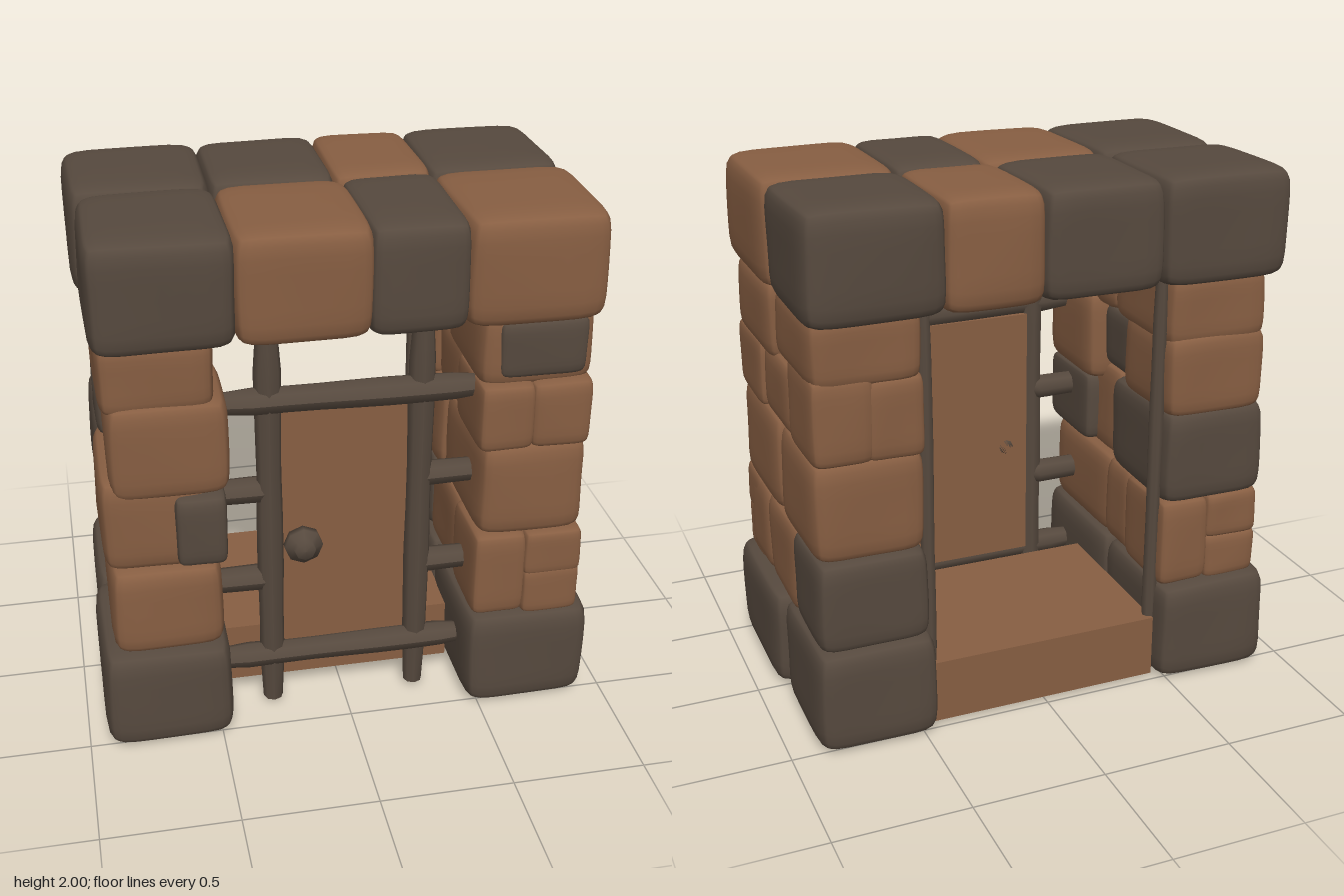
import * as THREE from 'three';
import { mergeVertices } from 'three/addons/utils/BufferGeometryUtils.js';

const brown = new THREE.MeshStandardMaterial({ color: 0x875e42 });
brown.name = 'brown';
const dark = new THREE.MeshStandardMaterial({ color: 0x56493e });
dark.name = 'darkBrown';

// Bulging, slightly uneven stone (a squared-off ellipsoid) filling the given bounds
function stone(group, name, mat, x0, x1, y0, y1, z0, z1) {
  const w = x1 - x0, h = y1 - y0, d = z1 - z0;
  let geo = new THREE.BoxGeometry(2, 2, 2, 10, 10, 10);
  geo.deleteAttribute('uv');
  geo.deleteAttribute('normal');
  geo = mergeVertices(geo);
  const p = geo.attributes.position;
  const seed = x0 * 17 + y0 * 29 + z0 * 41;
  // crowd the grid lines toward the edges
  const spread = (t) => Math.sin(t * Math.PI / 2);
  for (let i = 0; i < p.count; i++) {
    const u = spread(p.getX(i)), v = spread(p.getY(i)), t = spread(p.getZ(i));
    const k = Math.pow(u ** 8 + v ** 8 + t ** 8, -1 / 8);
    const a = 0.988 + 0.012 * Math.sin(seed + v * 2 + t * 1.5);
    const b = 0.992 + 0.008 * Math.sin(seed * 2 + u * 1.5 + t * 2);
    const c = 0.988 + 0.012 * Math.sin(seed * 3 + u * 2 + v * 1.5);
    p.setXYZ(i, u * k * a * w / 2, v * k * b * h / 2, t * k * c * d / 2);
  }
  geo.computeVertexNormals();
  const mesh = new THREE.Mesh(geo, mat);
  mesh.name = name;
  mesh.position.set((x0 + x1) / 2, (y0 + y1) / 2, (z0 + z1) / 2);
  group.add(mesh);
}

// Gently knobbly wooden pole between two points
function pole(group, name, from, to, radius) {
  const a = new THREE.Vector3(...from), b = new THREE.Vector3(...to);
  const len = a.distanceTo(b);
  const geo = new THREE.CylinderGeometry(radius, radius, len, 8, 8);
  const p = geo.attributes.position;
  for (let i = 0; i < p.count; i++) {
    const y = p.getY(i);
    const end = Math.abs(y) > len * 0.49 ? 0.75 : 1;
    const s = end * (1 + 0.05 * Math.sin(y * 9 + from[0] * 13));
    p.setXYZ(i, p.getX(i) * s, y, p.getZ(i) * s);
  }
  geo.computeVertexNormals();
  const mesh = new THREE.Mesh(geo, dark);
  mesh.name = name;
  mesh.position.copy(a).add(b).multiplyScalar(0.5);
  mesh.quaternion.setFromUnitVectors(new THREE.Vector3(0, 1, 0), b.sub(a).normalize());
  group.add(mesh);
}

function part(root, name) {
  const g = new THREE.Group();
  g.name = name;
  root.add(g);
  return g;
}

export function createModel() {
  const root = new THREE.Group();
  root.name = 'stoneDoorway';

  // Corner foundation stones
  const base = part(root, 'foundation');
  stone(base, 'baseStone', dark, 0.44, 0.93, 0, 0.41, -0.04, 0.555);
  stone(base, 'baseStone', dark, -0.935, -0.45, 0, 0.41, -0.04, 0.555);
  stone(base, 'baseStone', dark, 0.44, 0.9, 0, 0.41, -0.555, -0.02);
  stone(base, 'baseStone', dark, -0.92, -0.45, 0, 0.41, -0.555, -0.02);

  // Two rows of roof stones
  const roof = part(root, 'roofStones');
  const front = [[-0.9, -0.39, dark], [-0.415, 0.075, brown], [0.045, 0.405, dark], [0.38, 0.9, brown]];
  const back = [[-0.92, -0.4, dark], [-0.42, 0.05, dark], [0.03, 0.405, brown], [0.38, 0.89, dark]];
  front.forEach(([a, b, m]) => stone(roof, 'frontRoofStone', m, a, b, 1.59, 2, -0.04, 0.54));
  back.forEach(([a, b, m]) => stone(roof, 'backRoofStone', m, a, b, 1.59, 2, -0.555, -0.015));

  // Left pillar (+x), course by course
  const L = part(root, 'leftPillar');
  stone(L, 'frontStone', brown, 0.46, 0.67, 0.39, 0.75, 0.19, 0.515);
  stone(L, 'frontStone', brown, 0.65, 0.88, 0.56, 0.75, 0.3, 0.525);
  stone(L, 'frontStone', brown, 0.65, 0.88, 0.39, 0.59, 0.3, 0.525);
  stone(L, 'frontSideStone', brown, 0.5, 0.885, 0.39, 0.75, 0.18, 0.47);
  stone(L, 'middleStone', brown, 0.47, 0.88, 0.38, 0.75, -0.18, 0.22);
  stone(L, 'backStone', dark, 0.46, 0.88, 0.39, 0.75, -0.525, -0.14);
  stone(L, 'frontStone', brown, 0.47, 0.885, 0.73, 1.12, -0.03, 0.505);
  stone(L, 'backStone', brown, 0.46, 0.88, 0.73, 1.12, -0.505, -0.02);
  stone(L, 'frontStone', brown, 0.46, 0.67, 1.09, 1.36, 0.15, 0.505);
  stone(L, 'frontStone', brown, 0.65, 0.885, 1.09, 1.36, 0.15, 0.505);
  stone(L, 'middleStone', brown, 0.48, 0.87, 1.09, 1.37, -0.18, 0.18);
  stone(L, 'backStone', brown, 0.46, 0.68, 1.09, 1.4, -0.505, -0.16);
  stone(L, 'backStone', brown, 0.64, 0.87, 1.09, 1.42, -0.505, -0.16);
  stone(L, 'frontStone', brown, 0.46, 0.89, 1.33, 1.63, -0.03, 0.465);
  stone(L, 'frontInsetStone', dark, 0.52, 0.86, 1.37, 1.6, 0.15, 0.485);
  stone(L, 'backStone', brown, 0.46, 0.87, 1.37, 1.63, -0.505, -0.01);

  // Right pillar (-x), course by course
  const R = part(root, 'rightPillar');
  stone(R, 'frontStone', brown, -0.885, -0.47, 0.39, 0.75, -0.03, 0.515);
  stone(R, 'backStone', brown, -0.67, -0.46, 0.39, 0.75, -0.505, -0.17);
  stone(R, 'backStone', brown, -0.88, -0.65, 0.56, 0.75, -0.505, -0.17);
  stone(R, 'backStone', brown, -0.88, -0.65, 0.39, 0.58, -0.505, -0.17);
  stone(R, 'middleStone', brown, -0.87, -0.47, 0.39, 0.75, -0.2, 0.02);
  stone(R, 'frontStone', brown, -0.9, -0.5, 0.73, 1.11, -0.03, 0.485);
  stone(R, 'frontInsetStone', dark, -0.64, -0.45, 0.75, 1.04, 0.15, 0.525);
  stone(R, 'backStone', dark, -0.89, -0.46, 0.73, 1.11, -0.515, -0.01);
  stone(R, 'frontStone', brown, -0.86, -0.43, 1.03, 1.4, 0.1, 0.505);
  stone(R, 'middleStone', dark, -0.88, -0.5, 1.1, 1.36, -0.13, 0.13);
  stone(R, 'backStone', brown, -0.87, -0.46, 1.08, 1.4, -0.515, -0.11);
  stone(R, 'frontStone', brown, -0.88, -0.47, 1.35, 1.63, -0.03, 0.485);
  stone(R, 'backStone', brown, -0.87, -0.46, 1.35, 1.63, -0.505, -0.01);

  // Floor slab and door panel
  const slab = new THREE.Mesh(new THREE.BoxGeometry(0.9, 0.245, 0.69), brown);
  slab.name = 'floorSlab';
  slab.position.set(0, 0.1375, -0.135);
  const door = new THREE.Mesh(new THREE.BoxGeometry(0.5, 1.04, 0.03), brown);
  door.name = 'doorPanel';
  door.position.set(0, 0.76, 0.32);
  root.add(slab, door);

  // Wooden frame, rungs and rear posts
  const frame = part(root, 'woodenFrame');
  for (const s of [-1, 1]) {
    pole(frame, 'doorPost', [s * 0.28, 0.02, 0.345], [s * 0.28, 1.63, 0.345], 0.048);
    pole(frame, 'rearPost', [s * 0.45, 0.12, -0.44], [s * 0.45, 1.65, -0.44], 0.027);
    for (const y of [0.57, 0.95])
      pole(frame, 'sideRung', [s * 0.28, y, 0.335], [s * 0.52, y, 0.335], 0.048);
  }
  pole(frame, 'topBar', [-0.46, 1.32, 0.355], [0.52, 1.31, 0.355], 0.052);
  pole(frame, 'bottomBar', [-0.5, 0.23, 0.355], [0.5, 0.23, 0.355], 0.048);

  // Door knob
  const profile = [[0, -0.05], [0.03, -0.05], [0.035, -0.01], [0.072, 0], [0.072, 0.03], [0.042, 0.045], [0.038, 0.065], [0, 0.07]];
  const knob = new THREE.Mesh(new THREE.LatheGeometry(profile.map(([x, y]) => new THREE.Vector2(x, y)), 8), dark);
  knob.name = 'doorKnob';
  knob.rotation.x = Math.PI / 2;
  knob.position.set(-0.16, 0.715, 0.355);
  root.add(knob);

  return root;
}
